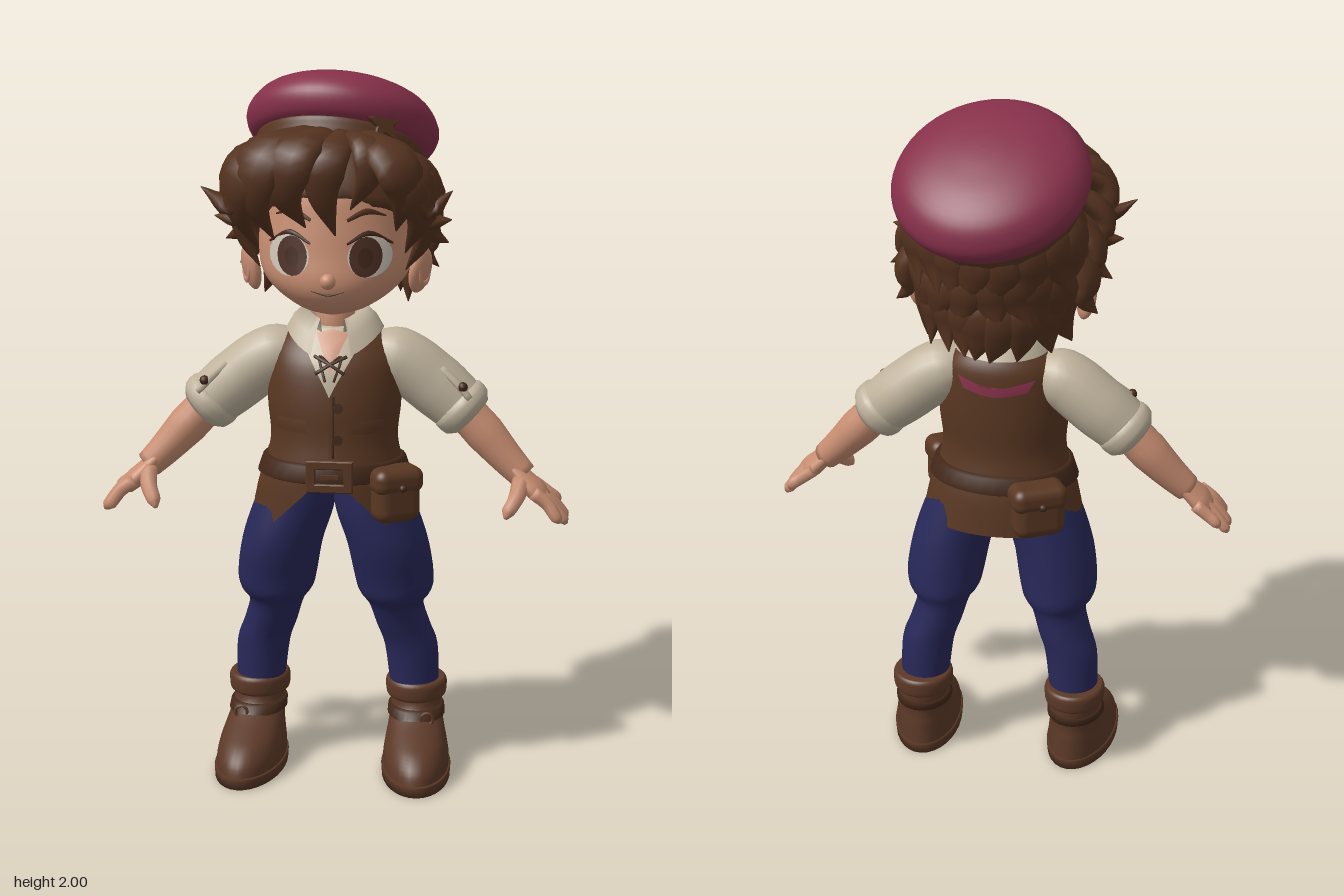
import * as THREE from 'three';
import { RoundedBoxGeometry } from 'three/addons/geometries/RoundedBoxGeometry.js';

const V = (x, y, z) => new THREE.Vector3(x, y, z);
const mat = (name, color, side = THREE.FrontSide) => {
  const m = new THREE.MeshStandardMaterial({ color, side });
  m.name = name;
  return m;
};

// Surface through a list of rings (arrays of Vector3), smooth normals
function skin(rings, closed = true, caps = true) {
  const n = rings[0].length, pos = [], idx = [];
  rings.flat().forEach(p => pos.push(p.x, p.y, p.z));
  for (let i = 0; i < rings.length - 1; i++) for (let j = 0; j < (closed ? n : n - 1); j++) {
    const a = i * n + j, b = i * n + (j + 1) % n;
    idx.push(a, b, b + n, a, b + n, a + n);
  }
  if (caps) [0, rings.length - 1].forEach((r, end) => {
    const c = rings[r].reduce((s, p) => s.add(p), V(0, 0, 0)).divideScalar(n), k = pos.length / 3;
    pos.push(c.x, c.y, c.z);
    for (let j = 0; j < n; j++) {
      const a = r * n + j, b = r * n + (j + 1) % n;
      end ? idx.push(a, b, k) : idx.push(b, a, k);
    }
  });
  const g = new THREE.BufferGeometry();
  g.setAttribute('position', new THREE.Float32BufferAttribute(pos, 3));
  g.setIndex(idx);
  g.computeVertexNormals();
  return g;
}
// Rows [y, cx, cz, rx, rz] refined with a spline
function smooth(rows, k = 4) {
  const out = [], R = i => rows[Math.max(0, Math.min(rows.length - 1, i))];
  for (let i = 0; i < rows.length - 1; i++) for (let s = 0; s < k; s++) {
    const t = s / k;
    out.push(rows[i].map((b, c) => {
      const a = R(i - 1)[c], d = R(i + 1)[c], e = R(i + 2)[c];
      return b + 0.5 * t * (d - a + t * (2 * a - 5 * b + 4 * d - e + t * (3 * (b - d) + e - a)));
    }));
  }
  return [...out, R(rows.length)];
}
function at(rows, y) {
  let i = 0;
  while (i < rows.length - 2 && rows[i + 1][0] < y) i++;
  const t = Math.max(0, Math.min(1, (y - rows[i][0]) / (rows[i + 1][0] - rows[i][0])));
  return rows[i].map((v, c) => v + t * (rows[i + 1][c] - v));
}
// Upright loft; gap(y) is the half width of an opening at the front
function loft(rows, gap, seg = 36) {
  return skin(rows.map(([y, cx, cz, rx, rz]) => {
    const a0 = gap ? Math.asin(Math.min(0.95, gap(y) / rx)) : 0;
    return Array.from({ length: gap ? seg + 1 : seg }, (_, j) => {
      const a = a0 + (2 * Math.PI - 2 * a0) * j / seg;
      return V(cx + rx * Math.sin(a), y, cz + rz * Math.cos(a));
    });
  }), !gap, !gap);
}
// Elliptical sweep along a curve; `side` is the width direction, radii are spread along it
function sweep(pts, widths, flat, side, steps = 12, seg = 12) {
  const curve = new THREE.CatmullRomCurve3(pts), rings = [];
  for (let i = 0; i <= steps; i++) {
    const u = i / steps, f = u * (widths.length - 1), k = Math.min(widths.length - 2, Math.floor(f));
    const w = widths[k] + (widths[k + 1] - widths[k]) * (f - k);
    const p = curve.getPoint(u), t = curve.getTangent(u);
    const s = side.clone().addScaledVector(t, -side.dot(t)).normalize(), n = t.clone().cross(s);
    rings.push(Array.from({ length: seg }, (_, j) => {
      const a = 2 * Math.PI * j / seg;
      return p.clone().addScaledVector(s, w * Math.cos(a)).addScaledVector(n, w * flat * Math.sin(a));
    }));
  }
  return skin(rings);
}
// Thin painted plate laid over the front (dir 1) or back (dir -1) of a loft
function decal(rows, outline, lift = 0.004, dir = 1) {
  const c = outline.reduce((s, p) => [s[0] + p[0] / outline.length, s[1] + p[1] / outline.length], [0, 0]);
  const rings = [1, 0.75, 0.5, 0.25, 0.02].map(f => outline.map(([px, py]) => {
    const x = c[0] + (px - c[0]) * f, y = c[1] + (py - c[1]) * f, [, cx, cz, rx, rz] = at(rows, y);
    return V(x, y, cz + dir * (rz * Math.sqrt(Math.max(0, 1 - ((x - cx) / rx) ** 2)) + lift));
  }));
  return skin(dir > 0 ? rings : rings.map(r => r.reverse()), true, false);
}
const oval = (x, y, rx, ry) => Array.from({ length: 20 }, (_, i) =>
  [x + rx * Math.cos(i * Math.PI / 10), y + ry * Math.sin(i * Math.PI / 10)]);
const box = (x, y, w, h) => [[-1, -1], [0, -1.1], [1, -1], [1, 0], [1, 1], [0, 1], [-1, 1], [-1, 0]].map(([a, b]) => [x + a * w, y + b * h]);

export function createModel() {
  const root = new THREE.Group();
  const M = {
    skin: mat('skin', 0xc88e72), hair: mat('hair brown', 0x54321f), vest: mat('vest leather', 0x593722, THREE.DoubleSide),
    boot: mat('boot leather', 0x5c3927), shirt: mat('linen', 0xbfb29c, THREE.DoubleSide), red: mat('crimson', 0x86304a),
    pants: mat('navy cloth', 0x28285a), white: mat('eye white', 0xcfc6ba), iris: mat('iris brown', 0x4d3024), dark: mat('dark leather', 0x432819),
  };
  const add = (name, geo, m, parent = root) => {
    const o = new THREE.Mesh(geo, m);
    o.name = name;
    parent.add(o);
    return o;
  };
  const Z = V(0, 0, 1), Y = V(0, 1, 0);

  // Head and face
  const head = smooth([[1.345, 0, .09, .03, .05], [1.36, 0, .08, .09, .1], [1.4, 0, .06, .155, .165], [1.45, 0, .045, .2, .195],
    [1.52, 0, .03, .215, .2], [1.6, 0, .02, .21, .2], [1.7, 0, 0, .2, .2], [1.8, 0, -.01, .14, .15]]);
  const onFace = (x, y, d = .002) => { const r = at(head, y); return V(x, y, r[2] + r[4] * Math.sqrt(1 - (x / r[3]) ** 2) + d); };
  add('head', loft(head), M.skin);
  add('neck', loft([[1.22, 0, .055, .06, .06], [1.3, 0, .055, .052, .052], [1.4, 0, .06, .06, .06]]), M.skin);
  const nose = add('nose', new THREE.SphereGeometry(.022, 16, 12), M.skin);
  nose.position.set(0, 1.455, .236);
  add('mouth', sweep([onFace(-.045, 1.427), onFace(0, 1.417), onFace(.045, 1.427)], [.001, .003, .001], 1, Y, 10, 6), M.dark);
  for (const s of [1, -1]) {
    add('eyeWhite', decal(head, oval(s * .11, 1.52, .058, .056)), M.white);
    add('iris', decal(head, oval(s * .1, 1.52, .043, .054), .007), M.iris);
    add('pupil', decal(head, oval(s * .1, 1.518, .02, .028), .01), M.dark);
    add('upperLash', sweep([onFace(s * .05, 1.555), onFace(s * .105, 1.582), onFace(s * .168, 1.55)], [.003, .008, .003], .8, Y, 10, 6), M.dark);
    add('eyebrow', sweep([onFace(s * .05, 1.618), onFace(s * .1, 1.64), onFace(s * .15, 1.625)], [.005, .009, .002], .6, Y, 10, 6), M.hair);
    const ear = add('ear', new THREE.SphereGeometry(1, 20, 14), M.skin);
    ear.scale.set(.022, .066, .046);
    ear.position.set(s * .235, 1.458, .055);
    ear.rotation.set(0, -s * .5, -s * .2);
    const inner = add('innerEar', new THREE.TorusGeometry(.7, .16, 8, 16), M.skin);
    inner.scale.set(.036, .055, .03);
    inner.position.set(s * .247, 1.46, .062);
    inner.rotation.set(0, s * 1.1, 0);
  }

  // Hair: cap cut away at the face, then tapered locks
  const hair = new THREE.Group();
  hair.name = 'hair';
  root.add(hair);
  const cap = new THREE.SphereGeometry(1, 40, 28).scale(.252, .235, .225).translate(0, 1.625, -.012);
  const cp = cap.attributes.position;
  for (let i = 0; i < cp.count; i++) {
    const lim = .01 + .25 * THREE.MathUtils.smoothstep(cp.getY(i), 1.54, 1.72);
    cp.setZ(i, Math.min(cp.getZ(i), lim));
  }
  cap.computeVertexNormals();
  add('hairCap', cap, M.hair, hair);
  const lock = (pts, w, thick = .5) => {
    const v = pts.map(p => V(...p)), out = v[1].clone().add(v[2]).multiplyScalar(.5).sub(V(0, 1.62, 0));
    const side = v[3].clone().sub(v[0]).cross(out).normalize();
    add('hairLock', sweep(v, [w * .6, w, w * .95, w * .6, .002], thick, side, 14, 10), M.hair, hair);
  };
  // Fringe, parted over the left eye
  lock([[.03, 1.84, .15], [.0, 1.79, .27], [-.01, 1.7, .275], [.02, 1.58, .235]], .06);
  lock([[-.02, 1.84, .15], [-.09, 1.8, .28], [-.11, 1.7, .28], [-.06, 1.6, .235]], .075);
  lock([[-.05, 1.84, .13], [-.17, 1.79, .25], [-.2, 1.68, .25], [-.15, 1.56, .2]], .085);
  lock([[-.08, 1.82, .12], [-.22, 1.76, .22], [-.25, 1.65, .2], [-.2, 1.52, .14]], .085);
  lock([[.05, 1.84, .15], [.11, 1.81, .23], [.11, 1.74, .25], [.06, 1.65, .23]], .05);
  lock([[.09, 1.83, .13], [.18, 1.78, .25], [.21, 1.7, .25], [.18, 1.59, .2]], .075);
  lock([[.11, 1.8, .12], [.22, 1.74, .22], [.25, 1.64, .19], [.2, 1.52, .14]], .08);
  // Side tufts flicking outward
  for (const s of [1, -1]) {
    const e = s < 0 ? .02 : 0;
    lock([[s * .12, 1.8, .12], [s * .24, 1.73, .2], [s * .28, 1.66, .19], [s * (.33 + e), 1.7, .19]], .07);
    lock([[s * .18, 1.76, .08], [s * .26, 1.68, .12], [s * .27, 1.61, .12], [s * .325, 1.61, .12]], .07);
    lock([[s * .19, 1.7, .06], [s * .25, 1.62, .1], [s * .245, 1.55, .1], [s * .2, 1.47, .12]], .06);
    lock([[s * .2, 1.7, .02], [s * .26, 1.62, .03], [s * .265, 1.56, .03], [s * .31, 1.53, .02]], .065);
    lock([[s * .2, 1.64, -.04], [s * .255, 1.55, -.04], [s * .245, 1.49, -.04], [s * .28, 1.45, -.04]], .06);
  }
  // Layered locks round the back
  const P = (a, r, y) => [Math.sin(a) * r * 1.08, y, Math.cos(a) * r - .01];
  for (let r = 0; r < 3; r++) for (let i = 0; i < 9; i++) {
    const a = Math.PI * (.58 + .84 * (i + (r % 2) * .4) / 8.4), k = Math.sin(i * 7.3 + r * 2.9), y = 1.74 - .09 * r + .012 * k, q = r * .017;
    lock([P(a, .195 - q, y), P(a, .222 - q, y - .07), P(a + .08 * k, .218 - q, y - .14), P(a + .2 * k, .222 - q + .012 * k, y - .205)], .06, .45);
  }

  // Beret with band and star
  const beret = new THREE.Group();
  beret.name = 'beret';
  beret.position.set(0, 1.78, -.065);
  beret.rotation.set(-.49, 0, -.07);
  root.add(beret);
  const lathe = pts => new THREE.LatheGeometry(new THREE.SplineCurve(pts.map(p => new THREE.Vector2(...p))).getPoints(28), 48);
  add('beretCrown', lathe([[.2, -.01], [.245, .005], [.268, .045], [.262, .085], [.225, .13], [.15, .162], [.06, .177], [.0001, .18]]), M.red, beret);
  add('beretBand', lathe([[.205, -.06], [.225, -.055], [.232, -.025], [.232, 0], [.21, .015]]), M.vest, beret);
  const star = new THREE.Shape(Array.from({ length: 10 }, (_, i) => {
    const r = i % 2 ? .022 : .05, a = i * Math.PI / 5 + Math.PI / 2;
    return new THREE.Vector2(r * Math.cos(a), r * Math.sin(a));
  }));
  const st = add('beretStar', new THREE.ExtrudeGeometry(star, { depth: .012, bevelSize: .004, bevelThickness: .004, bevelSegments: 1 }), M.vest, beret);
  st.position.set(.135, .005, .19);
  st.rotation.set(.3, .55, .1);

  // Shirt, vest and collar
  const body = smooth([[.76, 0, .07, .235, .165], [.86, 0, .075, .214, .16], [.93, 0, .08, .19, .15], [1.0, 0, .08, .178, .14],
    [1.1, 0, .075, .187, .14], [1.2, 0, .065, .18, .13], [1.26, 0, .05, .158, .107], [1.305, 0, .045, .105, .075]]);
  const shirt = body.filter(r => r[0] > .9).map(([y, cx, cz, rx, rz]) => [y, cx, cz, rx - .01, rz - .01]);
  add('shirtBody', loft(shirt), M.shirt);
  const opening = [[.76, .16], [.86, .06], [.9, 0], [1.13, 0], [1.2, .04], [1.26, .075], [1.31, .09]];
  add('vest', loft(body, y => at(opening, y)[1], 48), M.vest);
  add('bareChest', decal(shirt, [[0, 1.19], [.022, 1.24], [.045, 1.29], [0, 1.3], [-.045, 1.29], [-.022, 1.24]], .004), M.skin);
  const ring = (y, dip, rx, rz) => Array.from({ length: 33 }, (_, j) => {
    const a = .42 + (2 * Math.PI - .84) * j / 32;
    return V(rx * Math.sin(a), y - dip * Math.max(0, Math.cos(a)) ** 2, .055 + rz * Math.cos(a));
  });
  add('collar', skin([ring(1.295, .07, .135, .128), ring(1.33, .055, .115, .105), ring(1.36, .035, .082, .08), ring(1.3, .02, .07, .07)], false, false), M.shirt);
  const onShirt = (x, y) => { const r = at(shirt, y); return V(x, y, r[2] + r[4] * Math.sqrt(1 - (x / r[3]) ** 2) + .012); };
  for (const s of [1, -1]) {
    add('lace', sweep([onShirt(-s * .045, 1.235), onShirt(0, 1.215), onShirt(s * .04, 1.19)], [.005, .005], 1, Y, 8, 6), M.dark);
    add('laceEnd', sweep([onShirt(0, 1.215), onShirt(s * .03, 1.235), onShirt(s * .012, 1.17)], [.004, .004], 1, Z, 8, 6), M.dark);
    add('vestPocket', decal(body, box(s * .105, 1.045, .042, .018), .009), M.vest);
  }
  add('vestSeam', sweep([1.13, 1.05, .96].map(y => onShirt(.012, y)), [.003, .003], 1, V(1, 0, 0), 8, 6), M.dark);
  for (const y of [1.1, 1.01]) add('vestButton', decal(body, oval(.025, y, .014, .014), .008), M.dark);
  add('backPatch', decal(body, [[-.11, 1.235], [-.09, 1.2], [-.04, 1.19], [0, 1.185], [.04, 1.19], [.09, 1.2], [.11, 1.235], [.05, 1.215], [0, 1.215], [-.05, 1.215]], .006, -1), M.red);

  // Belt, buckle and pouches
  add('belt', loft([.885, .89, .935, .94].map((y, i) => { const r = at(body, y), d = i % 3 ? .012 : .002; return [y, 0, r[2], r[3] + d, r[4] + d]; })), M.dark);
  const frame = new THREE.Shape([[-.062, -.042], [.062, -.042], [.062, .042], [-.062, .042]].map(p => new THREE.Vector2(...p)));
  frame.holes.push(new THREE.Path([[-.042, -.024], [-.042, .024], [.042, .024], [.042, -.024]].map(p => new THREE.Vector2(...p))));
  add('buckle', new THREE.ExtrudeGeometry(frame, { depth: .012, bevelSize: .003, bevelThickness: .003, bevelSegments: 1 }), M.vest).position.set(.005, .913, .24);
  add('bucklePin', new THREE.BoxGeometry(.05, .01, .01), M.vest).position.set(.005, .913, .25);
  for (const [x, y, z, a, w] of [[.18, .85, .185, .55, .135], [-.125, .85, -.075, Math.PI + .5, .15]]) {
    const pouch = new THREE.Group();
    pouch.name = 'pouch';
    pouch.position.set(x, y, z);
    pouch.rotation.y = a;
    root.add(pouch);
    add('pouchBody', new RoundedBoxGeometry(w, .14, .09, 5, .035), M.vest, pouch).position.y = -.005;
    add('pouchFlap', new RoundedBoxGeometry(w + .012, .075, .1, 5, .03), M.vest, pouch).position.y = .045;
    add('pouchStud', new THREE.SphereGeometry(.011, 10, 8), M.dark, pouch).position.set(0, .03, .05);
  }

  for (const s of [1, -1]) {
    const p = (x, y, z) => V(s * x, y, z);
    // Arm: sleeve, rolled cuff, forearm, hand
    add('sleeve', sweep([p(.1, 1.225, .05), p(.18, 1.205, .045), p(.27, 1.14, .04), p(.36, 1.065, .045)], [.06, .085, .088, .088, .08], 1, Z, 14, 20), M.shirt);
    add('sleeveCuff', sweep([p(.33, 1.095, .045), p(.355, 1.07, .045), p(.382, 1.045, .046)], [.078, .091, .092, .088, .068], .95, Z, 8, 20), M.shirt);
    add('sleeveTab', sweep([p(.3, 1.19, .09), p(.345, 1.15, .105), p(.38, 1.11, .115)], [.018, .02, .016], .6, Z, 8, 8), M.shirt);
    add('sleeveButton', new THREE.SphereGeometry(.014, 10, 8), M.dark).position.set(s * .36, 1.145, .118);
    add('forearm', sweep([p(.35, 1.075, .05), p(.42, 1, .055), p(.48, .935, .065), p(.53, .885, .075)], [.058, .06, .05, .042], .95, Z, 12, 16), M.skin);
    add('palm', sweep([p(.49, .925, .07), p(.53, .885, .08), p(.565, .85, .088), p(.59, .825, .09)], [.036, .052, .064, .05], .45, Z, 10, 16), M.skin);
    [[.028, .63, .795, .022], [.07, .652, .762, .062], [.11, .652, .76, .11], [.145, .635, .775, .155]].forEach(([z, x, y, zt]) =>
      add('finger', sweep([p(.56, .855, z), p(.6, .825, z), p(x - .01, y + .015, zt), p(x, y, zt)], [.019, .019, .018, .016, .006], 1, Z, 10, 8), M.skin));
    add('thumb', sweep([p(.525, .88, .11), p(.515, .845, .16), p(.495, .815, .195), p(.487, .798, .208)], [.026, .023, .02, .006], 1, Y.clone().setX(s), 10, 8), M.skin);

    // Trouser leg
    add('trouserLeg', loft(smooth([[.22, .225, 0, .07, .075], [.35, .215, .005, .076, .08], [.42, .192, .015, .076, .088], [.49, .172, .03, .078, .1],
      [.53, .17, .038, .103, .12], [.58, .167, .045, .113, .124], [.68, .15, .062, .115, .133], [.78, .118, .068, .115, .13], [.88, .09, .07, .1, .12]])
      .map(([y, x, ...r]) => [y, s * x, ...r]), null, 28), M.pants);

    // Boot
    const boot = new THREE.Group();
    boot.name = 'boot';
    boot.position.x = s * .23;
    boot.rotation.y = s * .08;
    root.add(boot);
    add('bootSole', loft([[0, 0, .105, .098, .2], [.028, 0, .105, .1, .203], [.03, 0, .105, .095, .197]], null, 32), M.boot, boot);
    add('bootUpper', loft(smooth([[.02, 0, .103, .094, .196], [.06, 0, .098, .094, .188], [.095, 0, .08, .088, .168], [.12, 0, .055, .082, .14],
      [.15, 0, .018, .076, .105], [.18, 0, -.008, .074, .088], [.245, 0, -.01, .08, .088]]), null, 32), M.boot, boot);
    add('bootCuff', loft(smooth([[.195, 0, -.01, .076, .086], [.205, 0, -.01, .086, .094], [.24, 0, -.01, .088, .096], [.252, 0, -.01, .08, .088]]), null, 32), M.boot, boot);
    add('bootStrap', loft([[.145, 0, .015, .076, .1], [.15, 0, .012, .083, .108], [.17, 0, -.002, .081, .1], [.175, 0, -.005, .075, .09]], null, 32), M.dark, boot);
    add('bootBuckle', new THREE.TorusGeometry(.018, .005, 6, 12), M.boot, boot).position.set(s * .03, .16, .11);
  }
  return root;
}
